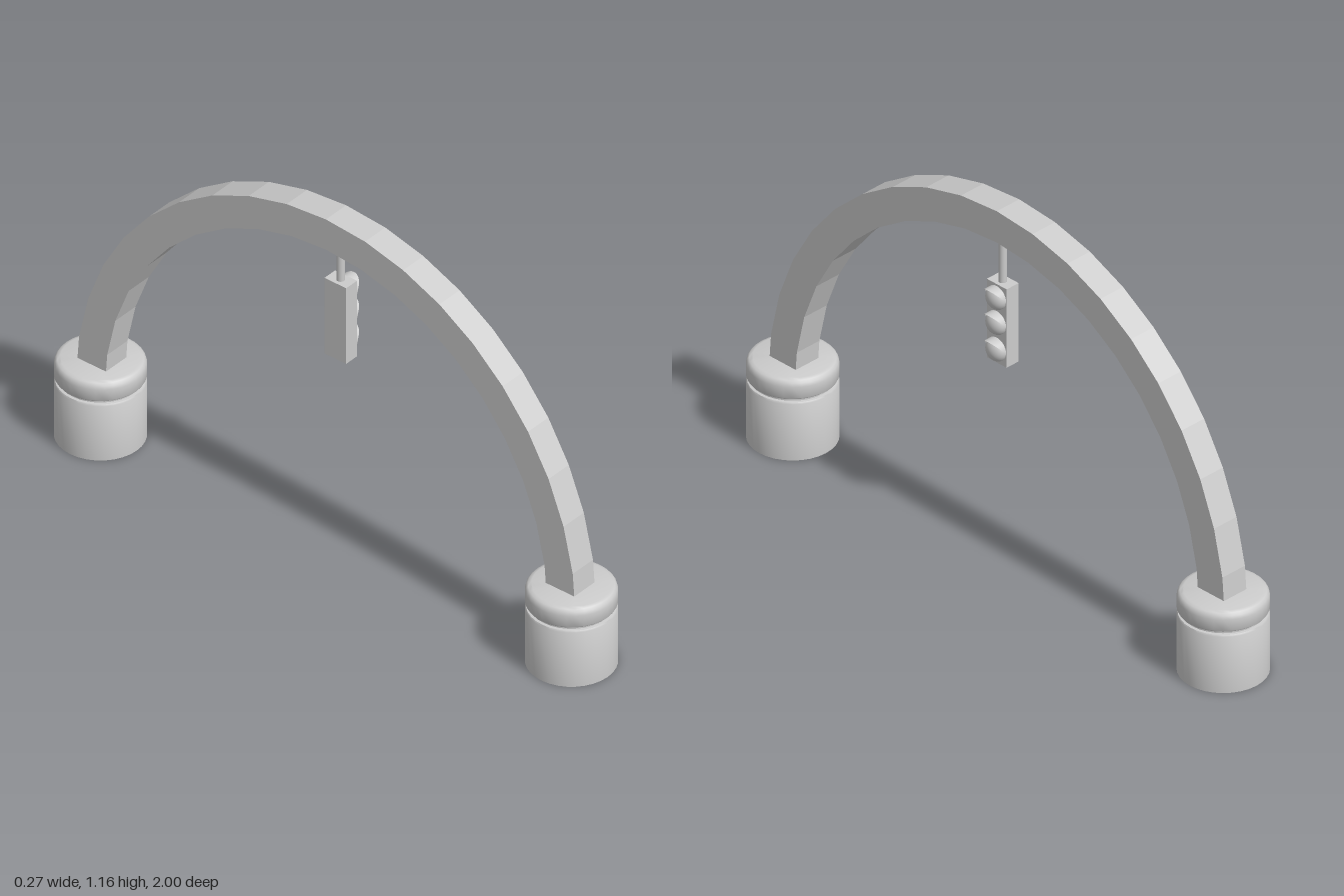
import * as THREE from 'three';
import { toCreasedNormals } from 'three/addons/utils/BufferGeometryUtils.js';

const grey = new THREE.MeshStandardMaterial({ color: 0xcccccc });
const greyThin = new THREE.MeshStandardMaterial({ color: 0xcccccc, side: THREE.DoubleSide });
const greyFlat = new THREE.MeshStandardMaterial({ color: 0xcccccc, flatShading: true });

function add(parent, name, geometry, material, x = 0, y = 0, z = 0) {
  const mesh = new THREE.Mesh(geometry, material);
  mesh.name = name;
  mesh.position.set(x, y, z);
  parent.add(mesh);
  return mesh;
}

// Faceted half-ellipse band, extruded across the width of the beam
function archGeometry() {
  const segments = 20, baseY = 0.19, width = 0.09;
  const arc = (rz, ry) => Array.from({ length: segments + 1 }, (_, i) => {
    const a = (i / segments) * Math.PI;
    return new THREE.Vector2(rz * Math.cos(a), baseY + ry * Math.sin(a));
  });
  const shape = new THREE.Shape([...arc(0.92, 0.973), ...arc(0.815, 0.868).reverse()]);
  const geometry = new THREE.ExtrudeGeometry(shape, { depth: width, bevelEnabled: false });
  return geometry.translate(0, 0, -width / 2).rotateY(-Math.PI / 2);
}

// Round pedestal with a groove under a soft-edged cap
function pedestalGeometry() {
  const profile = [
    [0, 0], [0.133, 0], [0.133, 0.188], [0.13, 0.193], [0.122, 0.194], [0.122, 0.203],
    [0.13, 0.204], [0.133, 0.209], [0.133, 0.245], [0.13, 0.256], [0.124, 0.263],
    [0.114, 0.266], [0, 0.266],
  ].map(([r, y]) => new THREE.Vector2(r, y));
  return toCreasedNormals(new THREE.LatheGeometry(profile, 32), 0.6);
}

// Upper half of a tube, cut on a slant so it is longest at the top
function visorGeometry(radius, depth) {
  const geometry = new THREE.CylinderGeometry(radius, radius, 1, 20, 1, true, Math.PI, Math.PI);
  geometry.translate(0, 0.5, 0).rotateZ(-Math.PI / 2);
  const p = geometry.attributes.position;
  for (let i = 0; i < p.count; i++) {
    p.setX(i, p.getX(i) * depth * Math.max(0, p.getY(i) / radius));
  }
  geometry.computeVertexNormals();
  return geometry;
}

export function createModel() {
  const model = new THREE.Group();
  model.name = 'archWithSignalLight';

  add(model, 'arch', archGeometry(), greyFlat);

  const pedestal = pedestalGeometry();
  add(model, 'frontPedestal', pedestal, grey, 0, 0, 0.867);
  add(model, 'backPedestal', pedestal, grey, 0, 0, -0.867);

  // Hanging signal light, facing +x
  const signal = new THREE.Group();
  signal.name = 'signalLight';
  model.add(signal);
  add(signal, 'hangingRod', new THREE.CylinderGeometry(0.0125, 0.0125, 0.17, 16), grey, 0.021, 0.995, 0);
  add(signal, 'housing', new THREE.BoxGeometry(0.048, 0.263, 0.08), grey, 0.021, 0.787, 0);

  const lens = new THREE.SphereGeometry(0.037, 24, 10, 0, Math.PI * 2, 0, Math.PI / 2);
  lens.scale(1, 0.028 / 0.037, 1).rotateZ(-Math.PI / 2);
  const visor = visorGeometry(0.038, 0.035);
  for (const y of [0.874, 0.79, 0.701]) {
    add(signal, 'lens', lens, grey, 0.045, y, 0);
    add(signal, 'visor', visor, greyThin, 0.045, y, 0);
  }
  return model;
}
